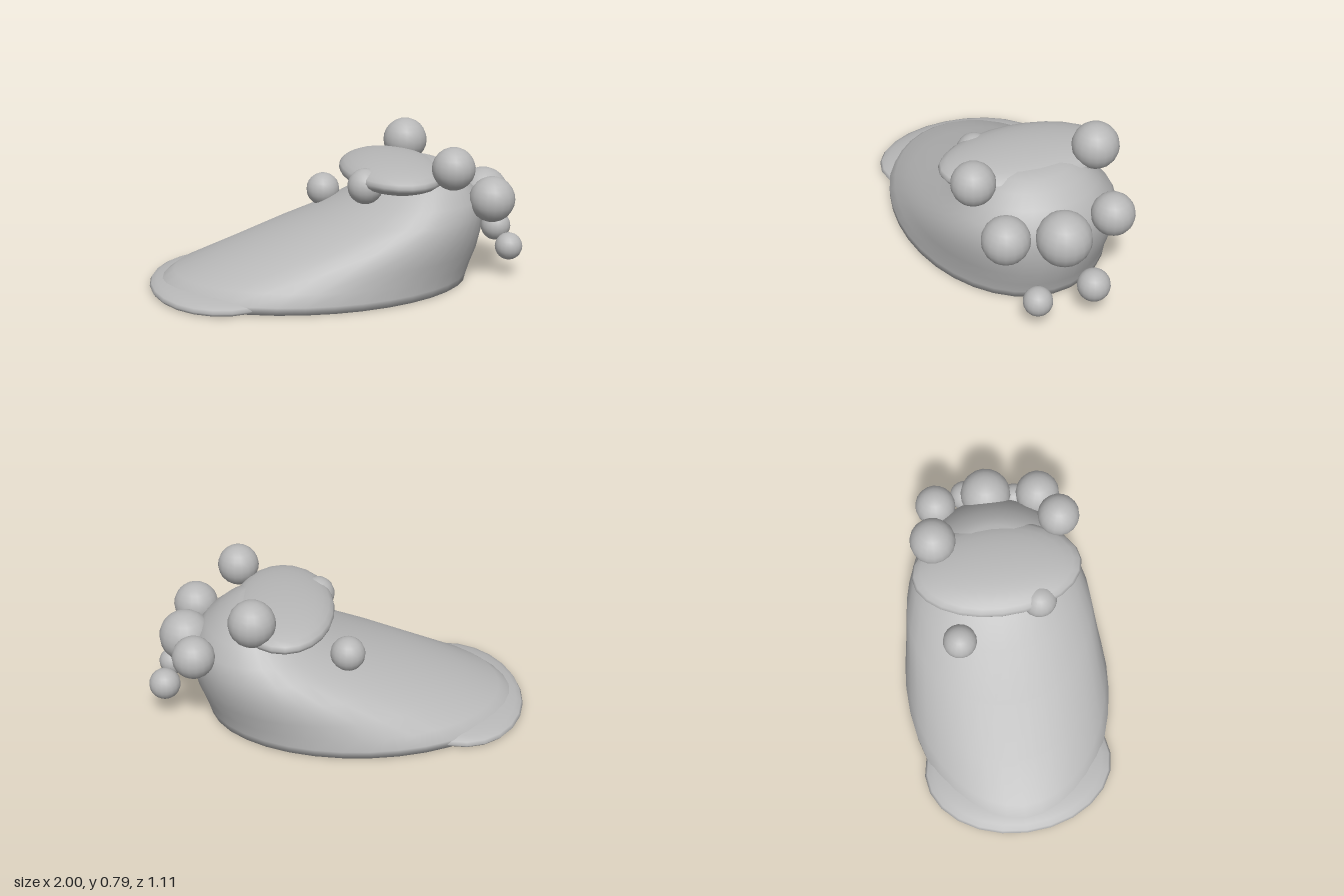
import * as THREE from 'three';

const grey = new THREE.MeshStandardMaterial({ color: 0xb8b8b8 });
grey.name = 'plain grey';

function add(group, name, geometry) {
  const mesh = new THREE.Mesh(geometry, grey);
  mesh.name = name;
  group.add(mesh);
  return mesh;
}

// Closed smooth shell from stacked elliptical rings [y, xMin, xMax, halfWidth]
function loftRings(rings, sides) {
  const pos = [], index = [];
  for (const [y, x0, x1, w] of rings) {
    for (let i = 0; i < sides; i++) {
      const a = (i / sides) * Math.PI * 2;
      pos.push((x0 + x1) / 2 + Math.cos(a) * (x1 - x0) / 2, y, Math.sin(a) * w);
    }
  }
  for (let r = 0; r < rings.length - 1; r++) {
    for (let i = 0; i < sides; i++) {
      const j = (i + 1) % sides;
      const a = r * sides + i, b = r * sides + j, c = a + sides, d = b + sides;
      index.push(a, c, b, b, c, d);
    }
  }
  // end caps
  const last = rings.length - 1;
  const bottom = pos.length / 3, top = bottom + 1;
  for (const r of [0, last]) pos.push((rings[r][1] + rings[r][2]) / 2, rings[r][0], 0);
  for (let i = 0; i < sides; i++) {
    const j = (i + 1) % sides;
    index.push(bottom, i, j, top, last * sides + j, last * sides + i);
  }
  const g = new THREE.BufferGeometry();
  g.setAttribute('position', new THREE.Float32BufferAttribute(pos, 3));
  g.setIndex(index);
  g.computeVertexNormals();
  return g;
}

// Squashed sphere, optionally cut flat at the ground
function lens(cx, cy, rx, ry, rz) {
  const g = new THREE.SphereGeometry(1, 24, 14);
  g.scale(rx, ry, rz);
  g.translate(cx, cy, 0);
  const p = g.attributes.position;
  for (let i = 0; i < p.count; i++) p.setY(i, Math.max(0, p.getY(i)));
  return g;
}

export function createModel() {
  const model = new THREE.Group();
  model.name = 'moundWithBubbles';

  // sloping body, leaning toward +x
  add(model, 'body', loftRings([
    [0.002, -0.96, 0.69, 0.555],
    [0.04, -0.96, 0.70, 0.556],
    [0.10, -0.87, 0.72, 0.542],
    [0.18, -0.65, 0.75, 0.523],
    [0.28, -0.37, 0.77, 0.50],
    [0.37, -0.11, 0.772, 0.45],
    [0.45, 0.05, 0.755, 0.40],
    [0.53, 0.18, 0.69, 0.325],
    [0.585, 0.27, 0.62, 0.26],
    [0.62, 0.34, 0.56, 0.19],
    [0.635, 0.38, 0.51, 0.13],
  ], 36));

  // flat lip around the low end
  add(model, 'lip', lens(-0.63, 0.02, 0.37, 0.068, 0.505));

  // cushion lying across the crest
  add(model, 'cushion', lens(0.285, 0.58, 0.265, 0.087, 0.447));

  // bubbles: x, y, z, radius
  const bubbles = [
    [0.52, 0.655, 0.355, 0.11],
    [0.445, 0.67, -0.315, 0.12],
    [0.755, 0.465, 0.28, 0.119],
    [0.745, 0.465, -0.28, 0.109],
    [0.80, 0.43, 0, 0.137],
    [0.895, 0.17, 0.17, 0.073],
    [0.917, 0.205, -0.11, 0.082],
    [-0.035, 0.432, -0.235, 0.09],
    [0.10, 0.548, 0.20, 0.092],
  ];
  bubbles.forEach(([x, y, z, r], i) => {
    add(model, `bubble${i + 1}`, new THREE.SphereGeometry(r, 18, 12)).position.set(x, y, z);
  });

  return model;
}
